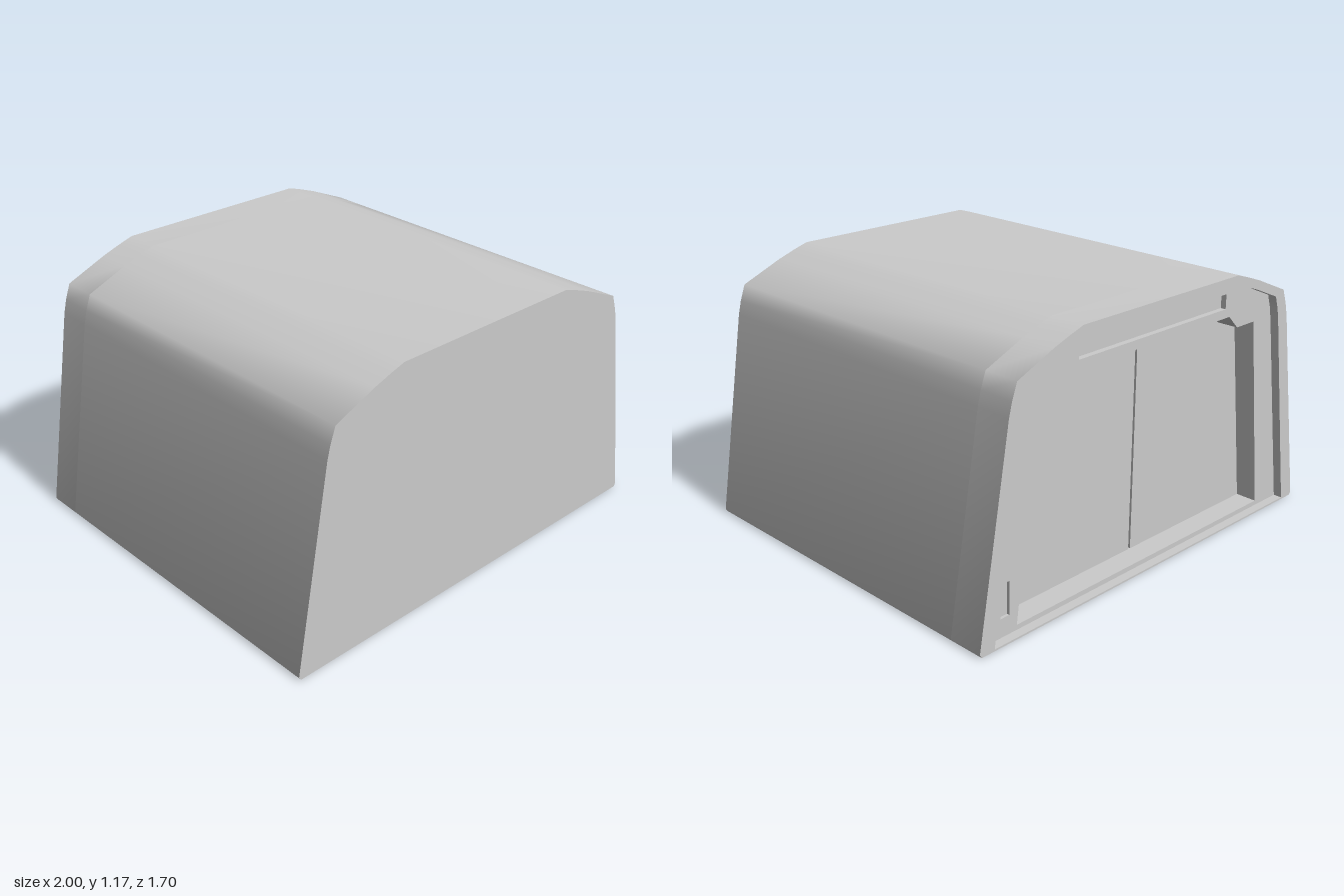
import * as THREE from 'three';
import { toCreasedNormals } from 'three/addons/utils/BufferGeometryUtils.js';

const BACK = -0.85, FRONT = 0.85, FRAME = -0.81, DOOR = -0.71;

// Right-hand half outlines, listed from the floor up
const OUTER = [[0.99, 0], [1, 0.015], [0.85, 0.91], [0.835, 0.97], [0.81, 1.04], [0.62, 1.12], [0.54, 1.148], [0.47, 1.17]];
const INNER = [[0.925, 0.008], [0.787, 0.9], [0.775, 0.96], [0.755, 1.02], [0.6, 1.085], [0.46, 1.13]];
const OPENING = [[0.77, 0.03], [0.658, 0.92], [0.54, 0.92], [0.48, 0.98]];

const points = (list) => list.map(([x, y]) => new THREE.Vector2(x, y));
const mirrored = (half) => points([...half, ...half.map(([x, y]) => [-x, y]).reverse()]);
const rect = (x0, y0, x1, y1) => points([[x0, y0], [x1, y0], [x1, y1], [x0, y1]]);

export function createModel() {
  const group = new THREE.Group();
  const material = new THREE.MeshStandardMaterial({ color: 0xcccccc });

  // Extrude an outline, with optional holes, from z0 to z1
  function slab(name, outline, z0, z1, holes = []) {
    const shape = new THREE.Shape(outline);
    for (const hole of holes) shape.holes.push(new THREE.Path(hole));
    const geometry = new THREE.ExtrudeGeometry(shape, { depth: z1 - z0, bevelEnabled: false });
    geometry.translate(0, 0, z0);
    const mesh = new THREE.Mesh(toCreasedNormals(geometry, 0.95), material);
    mesh.name = name;
    group.add(mesh);
  }

  // Closed body and the raised rim around its rear end
  slab('body', mirrored(OUTER), DOOR + 0.02, FRONT);
  slab('rearRim', mirrored(OUTER), BACK, DOOR + 0.02, [mirrored(INNER)]);

  // Recessed door surround with cutouts for the doorway, sign slot and call panel
  const slot = [-0.45, 1.02, 0.45, 1.085];
  const panel = [0.81, 0.09, 0.855, 0.235];
  slab('doorFrame', mirrored(INNER), FRAME, DOOR + 0.02,
    [mirrored(OPENING), rect(...slot), rect(...panel)]);
  slab('signSlotBack', rect(...slot), FRAME + 0.025, DOOR);
  slab('callPanelBack', rect(...panel), FRAME + 0.012, DOOR);

  // Two door leaves with a narrow gap between them
  for (const side of [1, -1]) {
    const leaf = [[0.006, 0.03], ...OPENING, [0.006, 0.98]].map(([x, y]) => [x * side, y]);
    slab(side > 0 ? 'leftDoor' : 'rightDoor', points(leaf), DOOR, DOOR + 0.02);
  }

  return group;
}
